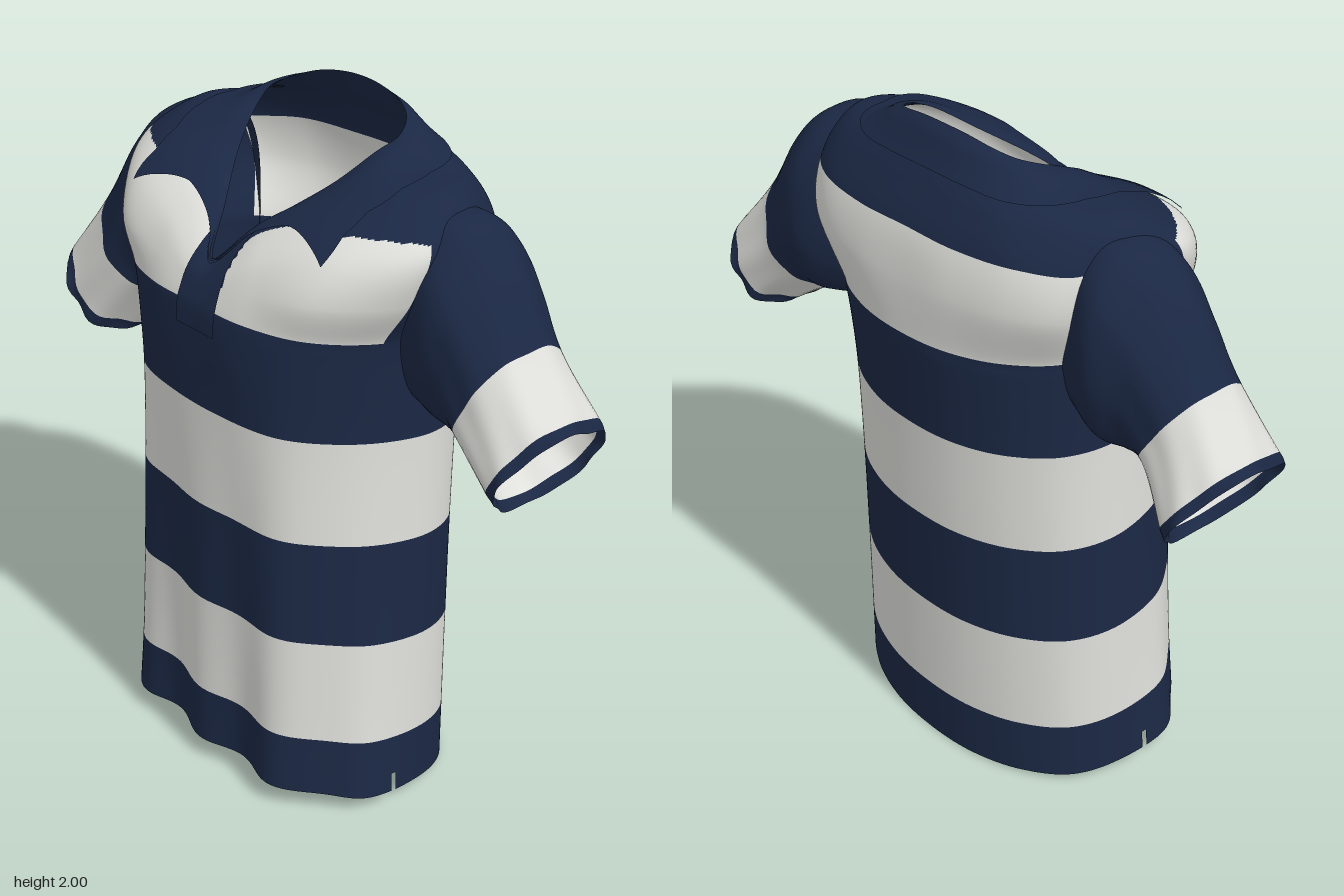
import * as THREE from 'three';

const navy = new THREE.MeshStandardMaterial({ color: 0x1b2844, side: THREE.DoubleSide });
navy.name = 'navy cloth';
const white = new THREE.MeshStandardMaterial({ color: 0xdededa, side: THREE.DoubleSide });
white.name = 'off-white cloth';

// Smooth cloth sheet of nu x nv cells; kind(i, j) gives 0 navy, 1 white, -1 gap
function sheet(name, nu, nv, closed, point, kind) {
  const cols = closed ? nu : nu + 1, pts = [], parts = [[], []];
  for (let j = 0; j <= nv; j++) for (let i = 0; i < cols; i++) pts.push(point(i, j));
  for (let j = 0; j < nv; j++) for (let i = 0; i < nu; i++) {
    const a = j * cols + i, b = j * cols + (i + 1) % cols, c = b + cols, d = a + cols;
    const k = kind(i, j, pts[a]);
    if (k >= 0) parts[k].push(a, b, c, a, c, d);
  }
  const geo = new THREE.BufferGeometry().setFromPoints(pts);
  geo.setIndex([...parts[0], ...parts[1]]);
  geo.addGroup(0, parts[0].length, 0);
  geo.addGroup(parts[0].length, parts[1].length, 1);
  geo.computeVertexNormals();
  const mesh = new THREE.Mesh(geo, [navy, white]);
  mesh.name = name;
  return mesh;
}

// Body rows up to the chest: level, half width, front z, back z, fullness of the front corners
const LOWER = [
  [0.033, 0.515, 0.378, -0.31, 1.02], [0.21, 0.508, 0.374, -0.315, 0.99], [0.525, 0.497, 0.372, -0.325, 0.96],
  [0.84, 0.485, 0.372, -0.338, 0.94], [1.155, 0.477, 0.374, -0.355, 0.93], [1.32, 0.477, 0.376, -0.37, 0.94],
  [1.42, 0.48, 0.374, -0.38, 0.95], [1.46, 0.483, 0.37, -0.382, 0.96],
];
// Half outline of a row from front centre to back centre: x and z fractions
const OUTLINE = [[0, 1], [0.38, 0.98], [0.74, 0.85], [0.97, 0.44], [0.99, -0.14], [0.885, -0.53], [0.645, -0.8], [0.34, -0.955], [0, -1]];
// Shoulder rows up to the collar fold, same nine stations
const UPPER = [
  [[0, 1.53, 0.358], [0.18, 1.58, 0.342], [0.38, 1.6, 0.3], [0.52, 1.6, 0.13], [0.52, 1.62, -0.09],
    [0.475, 1.6, -0.25], [0.35, 1.6, -0.34], [0.18, 1.6, -0.38], [0, 1.6, -0.385]],
  [[0, 1.55, 0.35], [0.17, 1.65, 0.308], [0.39, 1.71, 0.245], [0.55, 1.74, 0.085], [0.535, 1.775, -0.08],
    [0.485, 1.735, -0.22], [0.36, 1.74, -0.315], [0.18, 1.74, -0.355], [0, 1.745, -0.362]],
  [[0, 1.57, 0.338], [0.14, 1.69, 0.265], [0.33, 1.78, 0.17], [0.46, 1.83, 0.03], [0.48, 1.845, -0.08],
    [0.44, 1.83, -0.19], [0.32, 1.83, -0.275], [0.17, 1.84, -0.303], [0, 1.845, -0.31]],
  [[0, 1.585, 0.322], [0.11, 1.705, 0.232], [0.25, 1.81, 0.1], [0.32, 1.865, 0], [0.34, 1.875, -0.1],
    [0.3, 1.89, -0.19], [0.22, 1.9, -0.24], [0.12, 1.91, -0.26], [0, 1.915, -0.265]],
  [[0, 1.605, 0.3], [0.08, 1.712, 0.195], [0.185, 1.825, 0.05], [0.23, 1.9, -0.05], [0.245, 1.93, -0.11],
    [0.21, 1.955, -0.17], [0.16, 1.975, -0.2], [0.08, 1.992, -0.215], [0, 1.997, -0.22]],
];
const CHEST = LOWER.length - 1, FOLD = CHEST + UPPER.length;

// One smooth vertical line of cloth per station
const stations = OUTLINE.map(([fx, fz], c) => new THREE.CatmullRomCurve3([
  ...LOWER.map(([v, a, zf, zb, full]) => {
    const f = c === 2 || c === 3 ? full : 1;
    const z = (zf + zb) / 2 + f * fz * (zf - zb) / 2;
    return new THREE.Vector3(a * fx * f, v + 0.1 * z, z);
  }),
  ...UPPER.map(row => new THREE.Vector3(...row[c])),
]));

// Body surface: u runs round the body (0 front, 4 left, 8 back), w runs up the rows
const rings = new Map();
function body(u, w) {
  const key = w.toFixed(5);
  if (!rings.has(key)) {
    const half = stations.map(s => s.getPoint(Math.min(w / FOLD, 1)));
    const other = half.slice(1, 8).reverse().map(p => new THREE.Vector3(-p.x, p.y, p.z));
    rings.set(key, new THREE.CatmullRomCurve3([...half, ...other], true));
  }
  const p = rings.get(key).getPoint(((u + 16) % 16) / 16);
  // Soft vertical folds in the lower front
  const front = THREE.MathUtils.smoothstep(p.z, 0.1, 0.32);
  p.z += 0.02 * front * Math.max(0, 1 - w / 5) * (Math.cos(21 * p.x) - 0.6);
  // Shoulders turned slightly, left one back
  p.z -= 0.08 * p.x * THREE.MathUtils.smoothstep(w, -1, 9);
  return p;
}

// Point lifted off the body surface
function lifted(u, w, h) {
  const e = 0.02, p = body(u, w);
  const du = body(u + e, w).sub(body(u - e, w));
  const dw = body(u, Math.min(w + e, FOLD)).sub(body(u, w - e));
  return p.addScaledVector(du.cross(dw).normalize(), h);
}

// Lower edge of the yoke, in rows above the chest
function yokeEdge(u) {
  if (u < 2) return 2.7 + 1.2 * (2 - u);
  return 2 + Math.max(0, 0.7 - 0.45 * (u - 2));
}

function makeTorso() {
  const nu = 224, low = 6, high = 24, lowRows = CHEST * low;
  const level = j => j <= lowRows ? j / low : CHEST + (j - lowRows) / high;
  return sheet('torso', nu, lowRows + UPPER.length * high, true,
    (i, j) => body(i * 16 / nu, level(j)),
    (i, j, p) => {
      const w = level(j), u = Math.min(i, nu - 1 - i) * 16 / nu;
      // Side slits in the hem
      if (j < 2 && (i === 49 || i === nu - 50)) return -1;
      if (j < lowRows) return [0, 1, 0, 1, 0, 0, 0][Math.floor(w)];
      // Placket and armhole strips
      if (u < 4 && p.x > -0.055 && p.x < 0.075) return 0;
      if (u > 3.1 && u < 4.9) return 0;
      return w < CHEST + yokeEdge(u) - 0.01 ? 1 : 0;
    });
}

// Turned-down collar: rows below the fold reached by its edge, front to back
const EDGE = [[0, 0.3], [0.6, 0.5], [1, 1.1], [1.4, 1.65], [1.9, 3.05], [2.1, 2.35], [2.4, 1.85], [3, 1.5], [4, 1.3], [6, 1.4], [8, 1.4]];
function collarDrop(u) {
  const k = Math.max(1, EDGE.findIndex(e => e[0] >= u));
  const [a, b] = [EDGE[k - 1], EDGE[k]];
  return a[1] + (b[1] - a[1]) * (u - a[0]) / (b[0] - a[0]);
}
function makeCollar() {
  const nu = 320, nv = 8;
  return sheet('collar', nu, nv, false, (i, j) => {
    const u = i * 16 / nu, t = 1 - j / nv;
    return lifted(u, FOLD - t * collarDrop(Math.min(u, 16 - u)), 0.011 * Math.min(1, t * 4));
  }, () => 0);
}

// Button placket with straight sides
function makePlacket() {
  const w0 = 5.65, w1 = FOLD - 0.5;
  return sheet('placket', 10, 24, false, (i, j) => {
    const w = w0 + (w1 - w0) * j / 24;
    return lifted((-0.06 + 0.15 * i / 10) / body(1, w).x, w, 0.007);
  }, () => 0);
}

// Sleeve rings: upper edge [x, y, front z] and lower edge [x, y, back z]
const LEFT = {
  top: [[0.42, 1.82, 0.03], [0.57, 1.8, 0.065], [0.68, 1.695, 0.06], [0.795, 1.52, 0.05], [0.925, 1.355, 0.055], [0.942, 1.325, 0.055]],
  under: [[0.42, 1.25, -0.24], [0.55, 1.22, -0.315], [0.6, 1.21, -0.31], [0.635, 1.19, -0.3], [0.78, 1.085, -0.315], [0.8, 1.06, -0.32]],
};
const RIGHT = {
  top: [[-0.42, 1.82, 0.11], [-0.57, 1.795, 0.16], [-0.69, 1.67, 0.16], [-0.81, 1.47, 0.17], [-0.93, 1.3, 0.2], [-0.945, 1.27, 0.21]],
  under: [[-0.42, 1.25, -0.18], [-0.55, 1.215, -0.225], [-0.6, 1.2, -0.18], [-0.63, 1.18, -0.15], [-0.745, 1.03, -0.18], [-0.765, 1, -0.19]],
};
function makeSleeve(name, { top, under }, side) {
  const nu = 64, sub = 8, n = top.length - 1;
  const curve = list => new THREE.CatmullRomCurve3(list.map(p => new THREE.Vector3(...p)));
  const upper = curve(top), lower = curve(under);
  return sheet(name, nu, n * sub, true, (i, j) => {
    const t = j / (n * sub), T = upper.getPoint(t), B = lower.getPoint(t), a = i * 2 * Math.PI / nu;
    // Light creases growing towards the cuff, fuller section at the shoulder
    const crease = 1 + 0.04 * t * Math.sin(5 * a + 7 * t) + 0.025 * t * Math.sin(9 * a - 4 * t);
    const power = Math.min(1, 0.75 + 0.5 * t);
    const full = v => Math.sign(v) * Math.abs(v) ** power * crease / 2;
    const c = full(Math.cos(a)), s = side * full(Math.sin(a));
    return new THREE.Vector3(
      (T.x + B.x) / 2 + (T.x - B.x) * c,
      (T.y + B.y) / 2 + (T.y - B.y) * c,
      (T.z + B.z) / 2 + (T.z - B.z) * s);
  }, (i, j) => Math.floor(j / sub) === 3 ? 1 : 0);
}

export function createModel() {
  const shirt = new THREE.Group();
  shirt.name = 'striped shirt';
  shirt.add(makeTorso(), makeCollar(), makePlacket(),
    makeSleeve('left sleeve', LEFT, 1), makeSleeve('right sleeve', RIGHT, -1));
  return shirt;
}
